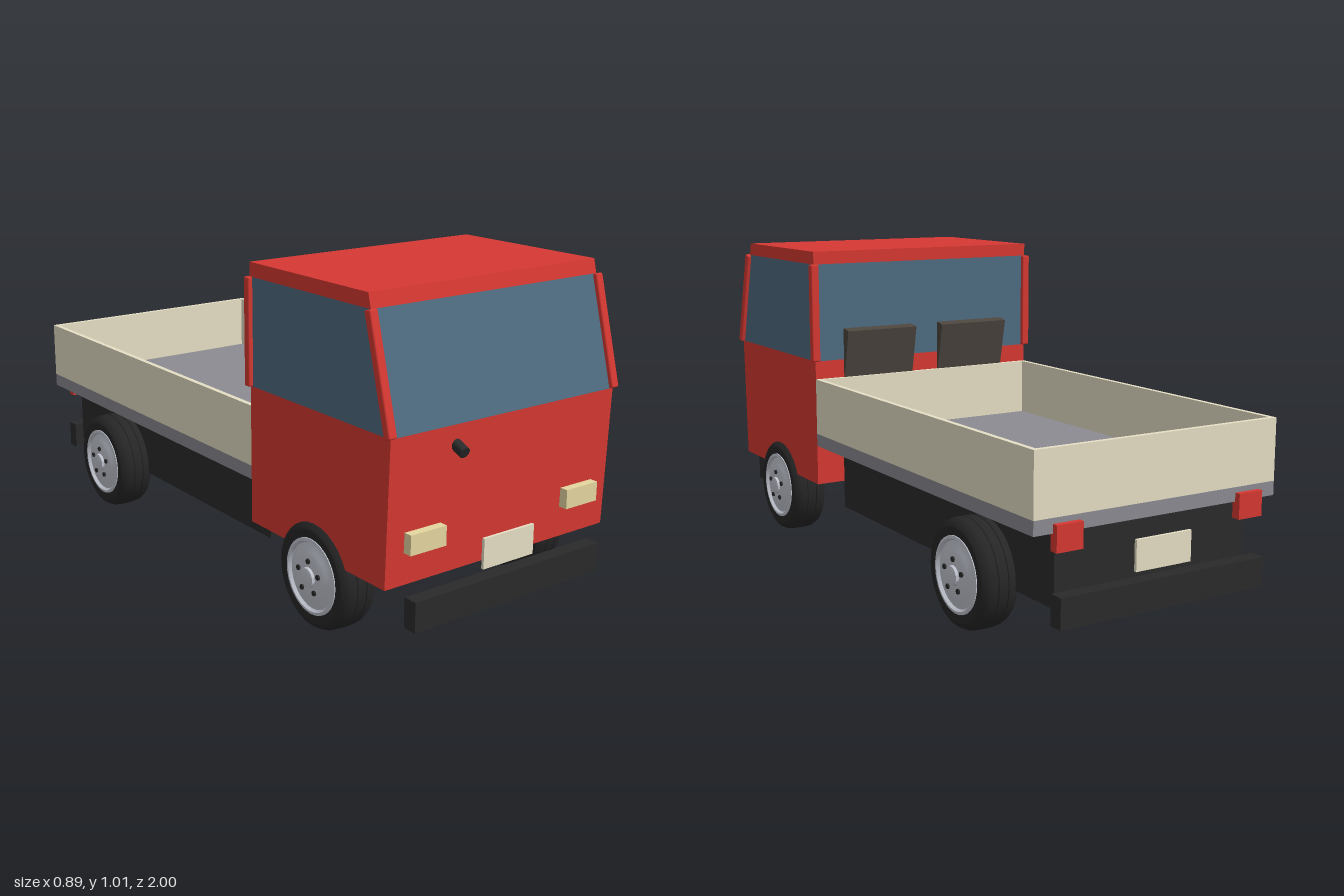
import * as THREE from 'three';
import { toCreasedNormals } from 'three/addons/utils/BufferGeometryUtils.js';
import { RoundedBoxGeometry } from 'three/addons/geometries/RoundedBoxGeometry.js';

const mat = (name, color) => {
  const m = new THREE.MeshStandardMaterial({ color });
  m.name = name;
  return m;
};

export function createModel() {
  const red = mat('red paint', 0xd63832);
  const glass = mat('blue glass', 0x4e6c81);
  const cream = mat('cream', 0xe6dfc5);
  const grey = mat('bed grey', 0x8b8b92);
  const dark = mat('chassis black', 0x2a2a2a);
  const rubber = mat('tyre rubber', 0x262626);
  const silver = mat('wheel silver', 0xc2c6d0);
  const lamp = mat('headlight yellow', 0xe5d69f);
  const seatCloth = mat('seat brown', 0x4c463f);

  const truck = new THREE.Group();
  truck.name = 'flatbedTruck';

  const add = (name, geometry, material, parent = truck) => {
    const mesh = new THREE.Mesh(geometry, material);
    mesh.name = name;
    parent.add(mesh);
    return mesh;
  };
  // Box given by its limits on each axis
  const box = (name, [x0, x1], [y0, y1], [z0, z1], material) => {
    const mesh = add(name, new THREE.BoxGeometry(x1 - x0, y1 - y0, z1 - z0), material);
    mesh.position.set((x0 + x1) / 2, (y0 + y1) / 2, (z0 + z1) / 2);
  };
  // Side profile of [z, y] points extruded across the width
  const slab = (name, points, halfWidth, material) => {
    const shape = new THREE.Shape(points.map(([z, y]) => new THREE.Vector2(z, y)));
    const g = new THREE.ExtrudeGeometry(shape, { depth: halfWidth * 2, bevelEnabled: false });
    add(name, g.translate(0, 0, -halfWidth).rotateY(-Math.PI / 2), material);
  };
  // Bar between two points, its section made by a function of its length
  const bar = (name, a, b, section, material) => {
    const from = new THREE.Vector3(...a), to = new THREE.Vector3(...b);
    const dir = to.clone().sub(from);
    const mesh = add(name, section(dir.length()), material);
    mesh.position.copy(from).add(to).multiplyScalar(0.5);
    mesh.quaternion.setFromUnitVectors(new THREE.Vector3(0, 1, 0), dir.normalize());
  };

  // Cab: painted body, window band, roof
  const W = 0.416;
  slab('cabBody', [[0.33, 0.228], [0.948, 0.228], [0.962, 0.648], [0.33, 0.648]], W, red);
  slab('cabWindows', [[0.33, 0.648], [0.962, 0.648], [0.875, 0.97], [0.33, 0.97]], W, glass);
  slab('cabRoof', [[0.33, 0.97], [0.875, 0.97], [0.864, 1.012], [0.33, 1.012]], W, red);
  const pillar = (length) => new RoundedBoxGeometry(0.028, length, 0.025, 2, 0.005);
  for (const s of [-1, 1]) {
    bar('frontPillar', [s * W, 0.648, 0.962], [s * W, 0.97, 0.875], pillar, red);
    bar('rearPillar', [s * W, 0.648, 0.33], [s * W, 0.97, 0.33], pillar, red);
  }

  // Seat backs showing through the rear of the cab
  for (const s of [-1, 1]) {
    const seat = add('seatBack', new THREE.BoxGeometry(0.26, 0.24, 0.035), seatCloth);
    seat.position.set(s * 0.181, 0.632, 0.334);
    seat.rotation.x = -0.2;
  }
  const column = (length) =>
    toCreasedNormals(new THREE.CylinderGeometry(0.017, 0.017, length, 10), 0.8);
  bar('steeringColumn', [-0.187, 0.602, 0.93], [-0.187, 0.576, 0.993], column, dark);

  // Front and rear fittings
  for (const s of [-1, 1]) {
    const span = (a, b) => (s > 0 ? [a, b] : [-b, -a]);
    box('headlight', span(0.23, 0.355), [0.321, 0.379], [0.945, 0.979], lamp);
    box('tailLight', span(0.27, 0.355), [0.312, 0.387], [-0.983, -0.955], red);
    box('bumper', [-0.352, 0.352], [0.108, 0.196], span(0.955, 1), dark);
    box('numberPlate', [-0.095, 0.095], [0.22, 0.31], span(0.976, 0.985), cream);
  }

  // Chassis and load bed
  box('chassis', [-0.33, 0.33], [0.144, 0.364], [-0.937, 0.304], dark);
  box('bedFloor', [-W, W], [0.361, 0.403], [-0.965, 0.33], grey);
  const rect = (Curve, w, z0, z1) => new Curve([[-w, z1], [w, z1], [w, z0], [-w, z0]]
    .map(([x, z]) => new THREE.Vector2(x, -z)));
  const walls = rect(THREE.Shape, W, -0.965, 0.33);
  walls.holes.push(rect(THREE.Path, W - 0.016, -0.949, 0.314));
  const wallGeo = new THREE.ExtrudeGeometry(walls, { depth: 0.185, bevelEnabled: false });
  add('bedWalls', wallGeo.rotateX(-Math.PI / 2), cream).position.y = 0.403;

  // Wheels: lathe profiles of [radius, outward offset]
  const lathe = (pts) => toCreasedNormals(
    new THREE.LatheGeometry(pts.map(([r, h]) => new THREE.Vector2(r, h)), 32)
      .rotateZ(-Math.PI / 2), 0.6);
  const tyreGeo = lathe([[0, -0.046], [0.1, -0.053], [0.138, -0.057], [0.152, -0.051],
    [0.16, -0.036], [0.162, -0.018], [0.159, -0.016], [0.162, -0.014], [0.162, 0.014],
    [0.159, 0.016], [0.162, 0.018], [0.16, 0.036], [0.152, 0.051], [0.138, 0.059],
    [0.114, 0.057], [0.108, 0.035]]);
  const rimGeo = lathe([[0.113, 0.035], [0.113, 0.059], [0.104, 0.061], [0.098, 0.052],
    [0.075, 0.058], [0.062, 0.064], [0.03, 0.065], [0.028, 0.073], [0.02, 0.076], [0, 0.076]]);
  const nutGeo = new THREE.CylinderGeometry(0.008, 0.008, 0.016, 6).rotateZ(-Math.PI / 2);
  for (const s of [-1, 1]) {
    for (const [name, z] of [['frontWheel', 0.64], ['rearWheel', -0.599]]) {
      const wheel = new THREE.Group();
      wheel.name = name;
      add('tyre', tyreGeo, rubber, wheel);
      add('rim', rimGeo, silver, wheel);
      for (let i = 0; i < 5; i++) {
        const a = Math.PI / 2 + (i * Math.PI * 2) / 5;
        add('wheelNut', nutGeo, rubber, wheel)
          .position.set(0.062, Math.sin(a) * 0.048, Math.cos(a) * 0.048);
      }
      wheel.position.set(s * 0.371, 0.163, z);
      if (s < 0) wheel.rotation.y = Math.PI;
      truck.add(wheel);
    }
  }
  return truck;
}
